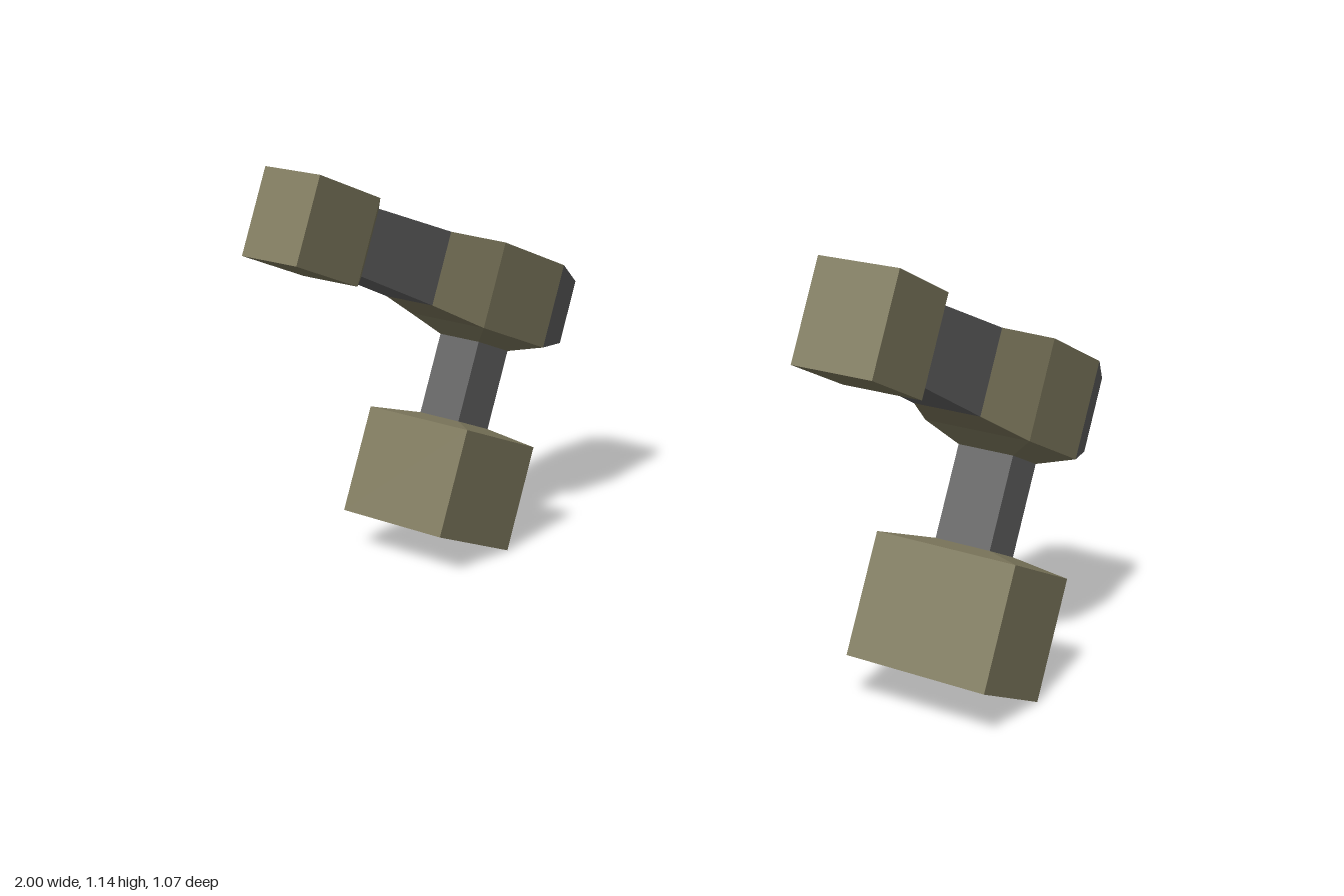
import * as THREE from 'three';

// Box whose two ends along 'z' (length) or 'y' (height) are given as [position, low, high, halfWidth]
function taper(axis, a, b) {
  const geo = new THREE.BoxGeometry(2, 2, 2);
  const p = geo.attributes.position;
  for (let i = 0; i < p.count; i++) {
    const along = axis === 'z' ? p.getZ(i) : p.getY(i);
    const across = axis === 'z' ? p.getY(i) : p.getZ(i);
    const [pos, low, high, half] = along < 0 ? a : b;
    const other = across < 0 ? low : high;
    const x = p.getX(i) * half;
    if (axis === 'z') p.setXYZ(i, x, other, pos);
    else p.setXYZ(i, x, pos, other);
  }
  geo.computeVertexNormals();
  return geo;
}

export function createModel() {
  const olive = new THREE.MeshStandardMaterial({ color: 0x807b5f, flatShading: true });
  olive.name = 'olive';
  const grey = new THREE.MeshStandardMaterial({ color: 0x636363, flatShading: true });
  grey.name = 'grey';

  // Cross-sections along the barrel: [z, bottom, top, halfWidth]
  const rear = [-0.208, 0.658, 0.841, 0.105];
  const bodyBack = [-0.101, 0.628, 0.868, 0.135];
  const bodyFront = [0.169, 0.628, 0.868, 0.135];
  const barrelBack = [0.336, 0.647, 0.85, 0.084];
  const barrelFront = [0.623, 0.66, 0.839, 0.083];
  const muzzleBack = [0.642, 0.631, 0.864, 0.097];
  const muzzleFront = [0.866, 0.631, 0.864, 0.097];

  // Cross-sections up the handle: [y, back, front, halfWidth]
  const baseBottom = [0.052, -0.113, 0.184, 0.18];
  const baseTop = [0.349, -0.113, 0.184, 0.18];
  const gripBottom = [0.367, -0.03, 0.1, 0.071];
  const gripTop = [0.593, -0.03, 0.1, 0.071];
  const bodyUnder = [0.628, -0.101, 0.169, 0.135];

  const parts = [
    ['rearCap', 'z', rear, bodyBack, grey],
    ['body', 'z', bodyBack, bodyFront, olive],
    ['bodyNose', 'z', bodyFront, barrelBack, olive],
    ['barrel', 'z', barrelBack, barrelFront, grey],
    ['muzzleCollar', 'z', barrelFront, muzzleBack, olive],
    ['muzzle', 'z', muzzleBack, muzzleFront, olive],
    ['base', 'y', baseBottom, baseTop, olive],
    ['baseCap', 'y', baseTop, gripBottom, olive],
    ['grip', 'y', gripBottom, gripTop, grey],
    ['gripSocket', 'y', gripTop, bodyUnder, olive],
  ];

  const model = new THREE.Group();
  model.name = 'pairOfBlasters';
  for (const side of [-1, 1]) {
    const blaster = new THREE.Group();
    blaster.name = side < 0 ? 'rightBlaster' : 'leftBlaster';
    for (const [name, axis, a, b, material] of parts) {
      const mesh = new THREE.Mesh(taper(axis, a, b), material);
      mesh.name = name;
      blaster.add(mesh);
    }
    // Muzzle tilted upwards
    blaster.rotation.x = THREE.MathUtils.degToRad(-24);
    blaster.position.x = side * 0.82;
    model.add(blaster);
  }
  return model;
}
